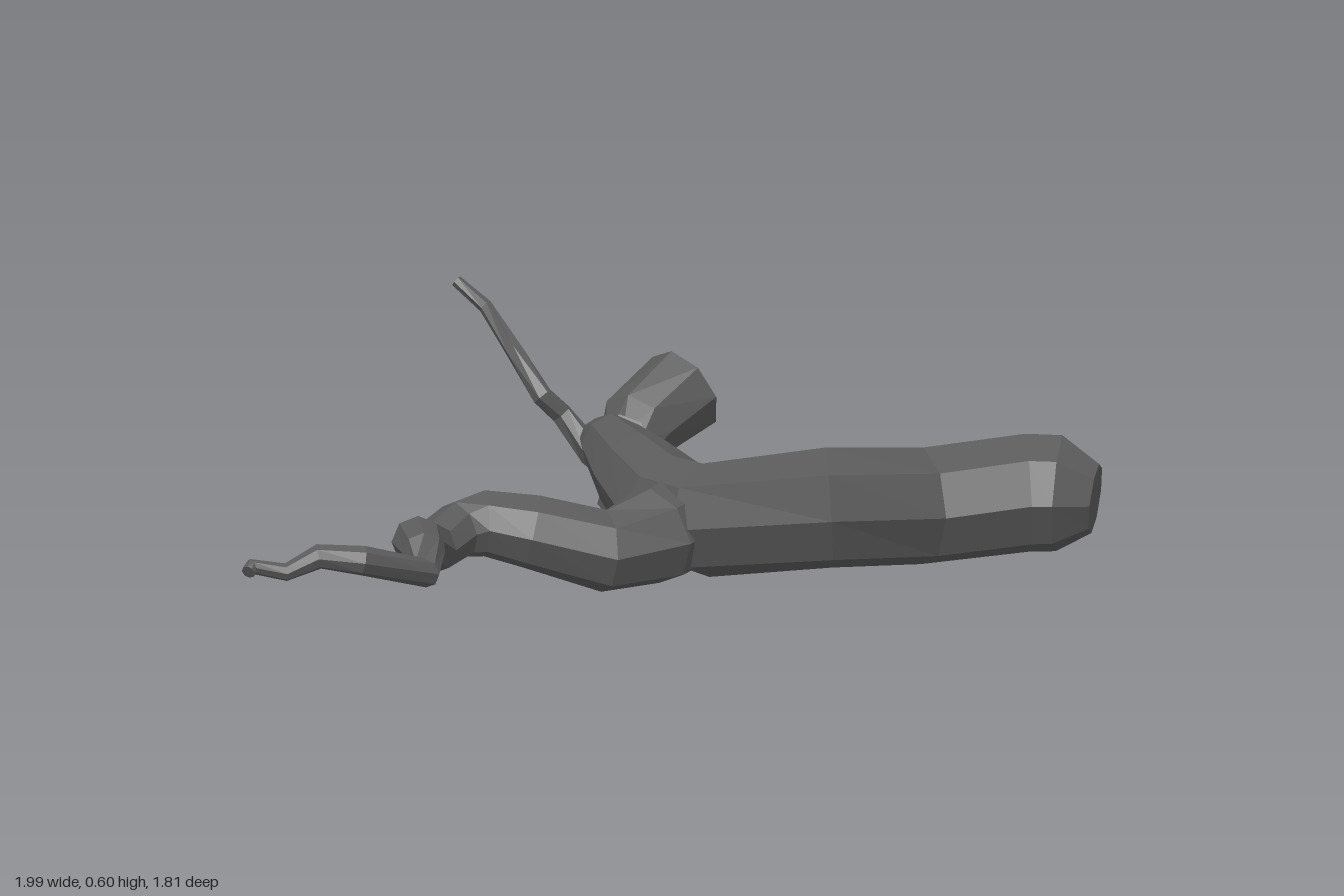
import * as THREE from 'three';

const bark = new THREE.MeshStandardMaterial({ color: 0x5a5a5a, flatShading: true });
bark.name = 'dark grey bark';

// Lofts rings [x, y, z, radius] into a closed limb; hollow > 0 sinks a hole into the far end.
function limb(name, path, { sides = 8, hollow = 0, up = new THREE.Vector3(0, 1, 0) } = {}) {
  const centres = path.map(([x, y, z]) => new THREE.Vector3(x, y, z));
  const last = path.length - 1;
  const rings = path.map((p, i) => {
    const ahead = centres[Math.min(i + 1, last)].clone().sub(centres[Math.min(i, last - 1)]).normalize();
    const behind = centres[Math.max(i, 1)].clone().sub(centres[Math.max(i - 1, 0)]).normalize();
    return { c: centres[i], r: p[3], t: ahead.add(behind).normalize() };
  });
  if (hollow) {
    const { c, r, t } = rings[last];
    rings.push({ c, r: r * 0.62, t });
    rings.push({ c: c.clone().addScaledVector(t, -hollow), r: r * 0.4, t });
  }
  const pos = [];
  const index = [];
  for (const { c, r, t } of rings) {
    const s = new THREE.Vector3().crossVectors(up, t).normalize();
    const u = new THREE.Vector3().crossVectors(t, s);
    for (let j = 0; j < sides; j++) {
      const a = (j / sides) * Math.PI * 2;
      const v = c.clone().addScaledVector(s, r * Math.cos(a)).addScaledVector(u, r * Math.sin(a));
      pos.push(v.x, v.y, v.z);
    }
  }
  const n = rings.length;
  const start = n * sides;
  pos.push(...rings[0].c.toArray(), ...rings[n - 1].c.toArray());
  for (let j = 0; j < sides; j++) {
    const k = (j + 1) % sides;
    for (let i = 0; i < n - 1; i++) {
      const a = i * sides + j, b = i * sides + k;
      index.push(a, b, b + sides, a, b + sides, a + sides);
    }
    index.push(start, k, j);
    index.push(start + 1, (n - 1) * sides + j, (n - 1) * sides + k);
  }
  const g = new THREE.BufferGeometry();
  g.setAttribute('position', new THREE.Float32BufferAttribute(pos, 3));
  g.setIndex(index);
  g.computeVertexNormals();
  const mesh = new THREE.Mesh(g, bark);
  mesh.name = name;
  return mesh;
}

export function createModel() {
  const group = new THREE.Group();
  group.name = 'fallenBranch';

  // Thick trunk from its blunt front end to the narrow rear fork
  group.add(limb('trunk', [
    [0.91, 0.24, 0.845, 0.09], [0.865, 0.25, 0.765, 0.15], [0.82, 0.25, 0.7, 0.152],
    [0.61, 0.23, 0.53, 0.15], [0.335, 0.265, 0.45, 0.155],
    [0.28, 0.19, 0.1, 0.145], [0.295, 0.2, -0.04, 0.14],
    [0.36, 0.26, -0.2, 0.11], [0.41, 0.305, -0.32, 0.078], [0.425, 0.31, -0.375, 0.045],
  ]));

  // Winding side branch that thins to a hooked tip
  group.add(limb('sideBranch', [
    [0.27, 0.18, 0.02, 0.13], [0.15, 0.165, 0.04, 0.125], [0.01, 0.145, -0.01, 0.105],
    [-0.12, 0.2, -0.14, 0.095], [-0.19, 0.22, -0.235, 0.085], [-0.25, 0.21, -0.27, 0.073],
    [-0.38, 0.19, -0.25, 0.066], [-0.5, 0.235, -0.2, 0.066], [-0.54, 0.225, -0.15, 0.055],
    [-0.6, 0.19, -0.095, 0.038], [-0.79, 0.25, -0.145, 0.038], [-0.84, 0.255, -0.245, 0.032],
    [-0.91, 0.22, -0.295, 0.023], [-0.965, 0.235, -0.36, 0.02], [-0.985, 0.225, -0.355, 0.018],
  ]));

  // Bent rear branch ending in a flared hollow stump
  group.add(limb('rearBranch', [
    [0.4, 0.31, -0.27, 0.075], [0.455, 0.27, -0.32, 0.075], [0.52, 0.2, -0.375, 0.058],
    [0.6, 0.175, -0.44, 0.055], [0.68, 0.2, -0.48, 0.065], [0.77, 0.245, -0.515, 0.1],
    [0.935, 0.315, -0.495, 0.115],
  ], { hollow: 0.06 }));

  // Short broken stub below the stump
  group.add(limb('lowerStub', [
    [0.77, 0.24, -0.52, 0.09], [0.76, 0.12, -0.54, 0.055], [0.765, 0.03, -0.56, 0.062],
  ], { sides: 6, hollow: 0.03, up: new THREE.Vector3(0, 0, 1) }));

  // Thin rising twig
  group.add(limb('twig', [
    [0.59, 0.18, -0.44, 0.04], [0.57, 0.22, -0.5, 0.035], [0.555, 0.31, -0.585, 0.028],
    [0.51, 0.36, -0.61, 0.026], [0.535, 0.455, -0.72, 0.023], [0.57, 0.545, -0.84, 0.018],
    [0.545, 0.605, -0.915, 0.015],
  ], { sides: 6 }));

  return group;
}
